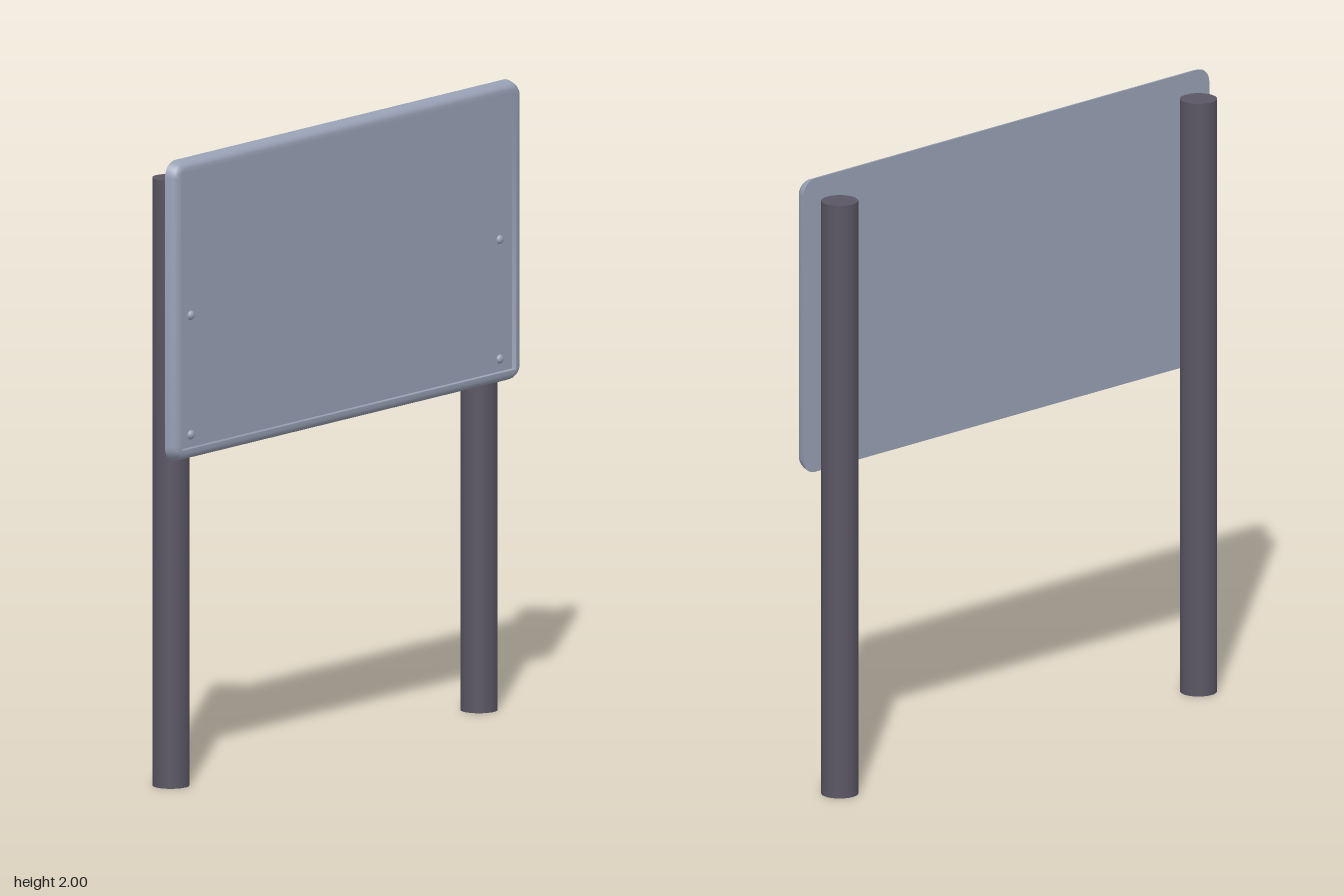
import * as THREE from 'three';
import { toCreasedNormals } from 'three/addons/utils/BufferGeometryUtils.js';

const WIDTH = 1.77, HEIGHT = 0.955, CENTRE_Y = 1.5225;
const CORNER_STEPS = 8;

// Counter-clockwise rounded rectangle, inset from the panel outline
function outline(inset, radius, z) {
  const points = [];
  const w = WIDTH / 2 - inset - radius, h = HEIGHT / 2 - inset - radius;
  [[1, 1], [-1, 1], [-1, -1], [1, -1]].forEach(([sx, sy], corner) => {
    for (let i = 0; i <= CORNER_STEPS; i++) {
      const a = (corner + i / CORNER_STEPS) * Math.PI / 2;
      points.push([sx * w + radius * Math.cos(a), sy * h + radius * Math.sin(a), z]);
    }
  });
  return points;
}

// Skin over successive outlines, closed at both ends
function loft(sections) {
  const rings = sections.map(s => outline(...s));
  const n = rings[0].length;
  const positions = rings.flat(2);
  const index = [];
  for (let r = 0; r < rings.length - 1; r++) {
    for (let i = 0; i < n; i++) {
      const j = (i + 1) % n, a = r * n, b = a + n;
      index.push(a + i, a + j, b + j, a + i, b + j, b + i);
    }
  }
  const last = (rings.length - 1) * n;
  for (let i = 1; i < n - 1; i++) {
    index.push(0, i + 1, i);
    index.push(last, last + i, last + i + 1);
  }
  const geometry = new THREE.BufferGeometry();
  geometry.setAttribute('position', new THREE.Float32BufferAttribute(positions, 3));
  geometry.setIndex(index);
  return toCreasedNormals(geometry, 0.6);
}

export function createModel() {
  const model = new THREE.Group();
  model.name = 'signboard';
  const panelGrey = new THREE.MeshStandardMaterial({ name: 'blueGrey', color: 0x98a1b5 });
  const postGrey = new THREE.MeshStandardMaterial({ name: 'darkGrey', color: 0x5a5664 });

  function add(name, geometry, material, x, y, z) {
    const mesh = new THREE.Mesh(geometry, material);
    mesh.name = name;
    mesh.position.set(x, y, z);
    model.add(mesh);
    return mesh;
  }

  // Panel: flat back, rounded rim and a shallow square-cornered recess
  add('panel', loft([
    [0, 0.05, 0.038],
    [0.004, 0.047, 0.054],
    [0.009, 0.043, 0.066],
    [0.016, 0.036, 0.074],
    [0.025, 0.027, 0.077],
    [0.038, 0.001, 0.077],
    [0.038, 0.001, 0.06],
  ]), panelGrey, 0, CENTRE_Y, 0);

  // Posts and the domed bolts that hold the panel to them
  const post = new THREE.CylinderGeometry(0.058, 0.058, 1.93, 32);
  const bolt = new THREE.SphereGeometry(0.015, 16, 6, 0, Math.PI * 2, 0, Math.PI / 2);
  bolt.scale(1, 0.8, 1);
  bolt.rotateX(Math.PI / 2);
  for (const [side, sx] of [['left', 1], ['right', -1]]) {
    add(side + 'Post', post, postGrey, sx * 0.782, 0.965, -0.019);
    add(side + 'UpperBolt', bolt, panelGrey, sx * 0.784, 1.502, 0.06);
    add(side + 'LowerBolt', bolt, panelGrey, sx * 0.784, 1.123, 0.06);
  }
  return model;
}
